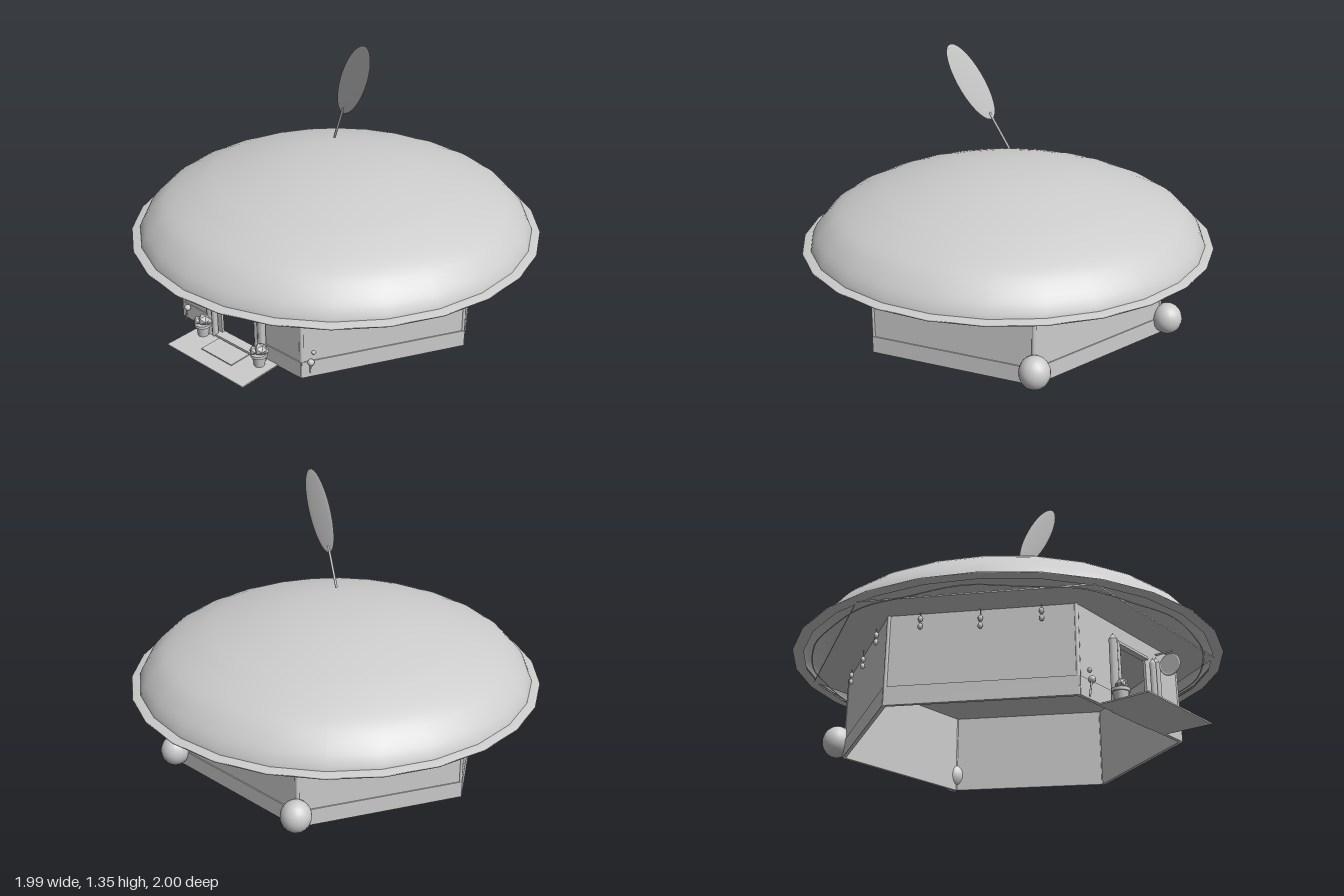
import * as THREE from 'three';

const grey = new THREE.MeshStandardMaterial({ color: 0xcccccc, side: THREE.DoubleSide });
grey.name = 'plain grey';

function add(parent, name, geometry, x = 0, y = 0, z = 0) {
  const mesh = new THREE.Mesh(geometry, grey);
  mesh.name = name;
  mesh.position.set(x, y, z);
  parent.add(mesh);
  return mesh;
}
const box = (w, h, d) => new THREE.BoxGeometry(w, h, d);
const v3 = (x, y, z) => new THREE.Vector3(x, y, z);

// Thin straight rod between two points
function rod(parent, name, a, b, r) {
  const mesh = add(parent, name, new THREE.CylinderGeometry(r, r, a.distanceTo(b), 8));
  mesh.position.copy(a).lerp(b, 0.5);
  mesh.quaternion.setFromUnitVectors(v3(0, 1, 0), b.clone().sub(a).normalize());
  return mesh;
}

const R = 0.775;                         // hexagon corner radius
const APOTHEM = R * Math.cos(Math.PI / 6);
const WALL_H = 0.395;

function addRoof(root) {
  const profile = [[0.96, 0.4], [0.955, 0.42], [0.93, 0.465], [0.87, 0.53], [0.8, 0.575], [0.7, 0.62],
    [0.6, 0.656], [0.4, 0.708], [0.2, 0.738], [0, 0.746]].map(p => new THREE.Vector2(...p));
  const curve = new THREE.SplineCurve(profile);
  add(root, 'domeRoof', new THREE.LatheGeometry(curve.getPoints(24), 26));
  const brim = [[0.95, 0.393], [1, 0.393], [0.998, 0.399], [0.955, 0.406]].map(p => new THREE.Vector2(...p));
  add(root, 'roofBrim', new THREE.LatheGeometry(brim, 26));

  // Sagging wire under the eaves
  const wave = [];
  for (let i = 0; i < 48; i++) {
    const a = i / 48 * Math.PI * 2;
    wave.push(v3(0.91 * Math.cos(a), 0.385 + 0.007 * Math.cos(a * 12), 0.91 * Math.sin(a)));
  }
  add(root, 'eavesWire', new THREE.TubeGeometry(new THREE.CatmullRomCurve3(wave, true), 96, 0.003, 4, true));
}

function addLeaf(root) {
  const foot = v3(-0.008, 0.832, 0), base = v3(0.065, 0.985, 0.03), tip = v3(0.265, 1.348, 0.094);
  rod(root, 'leafStem', foot, base.clone().lerp(tip, 0.08), 0.006);
  const along = tip.clone().sub(base).normalize();
  const normal = v3(0, -along.z, along.y).normalize();
  const across = along.clone().cross(normal).normalize();
  const leaf = add(root, 'leaf', new THREE.SphereGeometry(1, 24, 16));
  leaf.position.copy(base).lerp(tip, 0.5);
  leaf.quaternion.setFromRotationMatrix(new THREE.Matrix4().makeBasis(across, along, normal));
  leaf.scale.set(0.07, base.distanceTo(tip) / 2, 0.004);
}

// Two bulbs dangling on a short string
function addLights(wall, x, i) {
  const z = 0.022, drop = (i % 2) * 0.015;
  rod(wall, 'lightString', v3(x, WALL_H, z), v3(x, 0.33 - drop, z), 0.002);
  for (const y of [0.362, 0.33]) {
    const bulb = add(wall, 'bulb', new THREE.SphereGeometry(0.011, 8, 6), x, y - drop, z);
    bulb.scale.y = 1.3;
  }
}

function addWalls(house) {
  for (let i = 0; i < 6; i++) {
    const wall = new THREE.Group();
    wall.name = 'wall';
    const a = i * Math.PI / 3;
    wall.position.set(APOTHEM * Math.sin(a), 0, APOTHEM * Math.cos(a));
    wall.rotation.y = a;
    house.add(wall);
    if (i === 0) {
      // Front wall with doorway
      const s = new THREE.Shape();
      s.moveTo(-R / 2, 0).lineTo(R / 2, 0).lineTo(R / 2, WALL_H).lineTo(-R / 2, WALL_H);
      const hole = new THREE.Path();
      hole.moveTo(-0.118, 0.015).lineTo(-0.118, 0.31).lineTo(0.118, 0.31).lineTo(0.118, 0.015);
      s.holes.push(hole);
      add(wall, 'frontPanel', new THREE.ExtrudeGeometry(s, { depth: 0.012, bevelEnabled: false }), 0, 0, -0.006);
      for (const side of [-1, 1]) add(wall, 'skirting', box(0.23, 0.08, 0.016), side * 0.275, 0.04, 0.003);
    } else {
      add(wall, 'wallPanel', box(R, WALL_H, 0.012), 0, WALL_H / 2, 0);
      add(wall, 'skirting', box(R + 0.006, 0.08, 0.016), 0, 0.04, 0.003);
      if (i !== 3) [-0.25, 0, 0.25].forEach((x, k) => addLights(wall, x, k));
    }
    // Corner post
    const p = a + Math.PI / 6;
    add(house, 'cornerPost', new THREE.CylinderGeometry(0.01, 0.01, WALL_H, 8), R * Math.sin(p), WALL_H / 2, R * Math.cos(p));
  }
  // Hexagonal ceiling reaching out under the roof
  add(house, 'ceiling', new THREE.CylinderGeometry(0.96, 0.96, 0.006, 6), 0, 0.394, 0).rotation.y = Math.PI / 6;
}

function addSprout(house, x, z, lean) {
  const top = v3(x + lean, 0.085, z);
  rod(house, 'sproutStem', v3(x, 0, z), top, 0.004);
  add(house, 'sproutBud', new THREE.SphereGeometry(0.016, 8, 6), top.x, 0.075, z);
  add(house, 'sproutBud', new THREE.SphereGeometry(0.01, 8, 6), top.x + lean * 0.4, 0.12, z - 0.015);
}

function addEntrance(house) {
  for (const side of [-1, 1]) {
    // Pencil-shaped door posts
    for (const [dx, r, h] of [[0.142, 0.016, 0.29], [0.17, 0.02, 0.3]]) {
      add(house, 'doorPost', new THREE.CylinderGeometry(r, r, h, 6), side * dx, h / 2, 0.7);
      add(house, 'doorPostTip', new THREE.ConeGeometry(r, 0.03, 6), side * dx, h + 0.015, 0.7);
    }
    // Potted plant
    add(house, 'pot', new THREE.CylinderGeometry(0.034, 0.024, 0.065, 12), side * 0.187, 0.0325, 0.735);
    add(house, 'potRim', new THREE.CylinderGeometry(0.039, 0.039, 0.014, 12), side * 0.187, 0.062, 0.735);
    for (const [dx, y, dz, r] of [[0.01, 0.09, 0, 0.03], [-0.015, 0.082, 0.015, 0.022], [0.02, 0.08, -0.015, 0.022]])
      add(house, 'potPlant', new THREE.IcosahedronGeometry(r, 0), side * 0.187 + dx, y, 0.735 + dz);
  }
  add(house, 'doorLintel', box(0.25, 0.012, 0.03), 0, 0.313, 0.675);
  add(house, 'doorStep', box(0.29, 0.016, 0.05), 0, 0.008, 0.685);
  add(house, 'porch', box(0.5, 0.006, 0.23), 0.0, 0.003, 0.785);
  add(house, 'doorMat', box(0.2, 0.006, 0.11), 0, 0.008, 0.77);

  // Round hanging sign
  const disc = add(house, 'signDisc', new THREE.CylinderGeometry(0.044, 0.044, 0.01, 20), 0.214, 0.298, 0.745);
  disc.rotation.z = Math.PI / 2;
  const ring = add(house, 'signRing', new THREE.TorusGeometry(0.046, 0.006, 6, 24), 0.214, 0.298, 0.745);
  ring.rotation.y = Math.PI / 2;
  rod(house, 'signArm', v3(0.214, 0.36, 0.66), v3(0.214, 0.36, 0.76), 0.005);
  rod(house, 'signHanger', v3(0.214, 0.36, 0.745), v3(0.214, 0.34, 0.745), 0.003);

  addSprout(house, -0.355, 0.7, 0.02);
  addSprout(house, 0.41, 0.645, 0.008);
}

export function createModel() {
  const root = new THREE.Group();
  root.name = 'domeHouse';
  addRoof(root);
  addLeaf(root);

  const house = new THREE.Group();
  house.name = 'house';
  house.rotation.y = 0.028;
  root.add(house);
  addWalls(house);
  addEntrance(house);

  // Round bushes at the back corners
  for (const side of [-1, 1]) {
    const bush = add(house, 'bush', new THREE.SphereGeometry(0.07, 20, 14), side * 0.41, 0.08, -0.705);
    bush.scale.y = 1.07;
  }
  return root;
}
